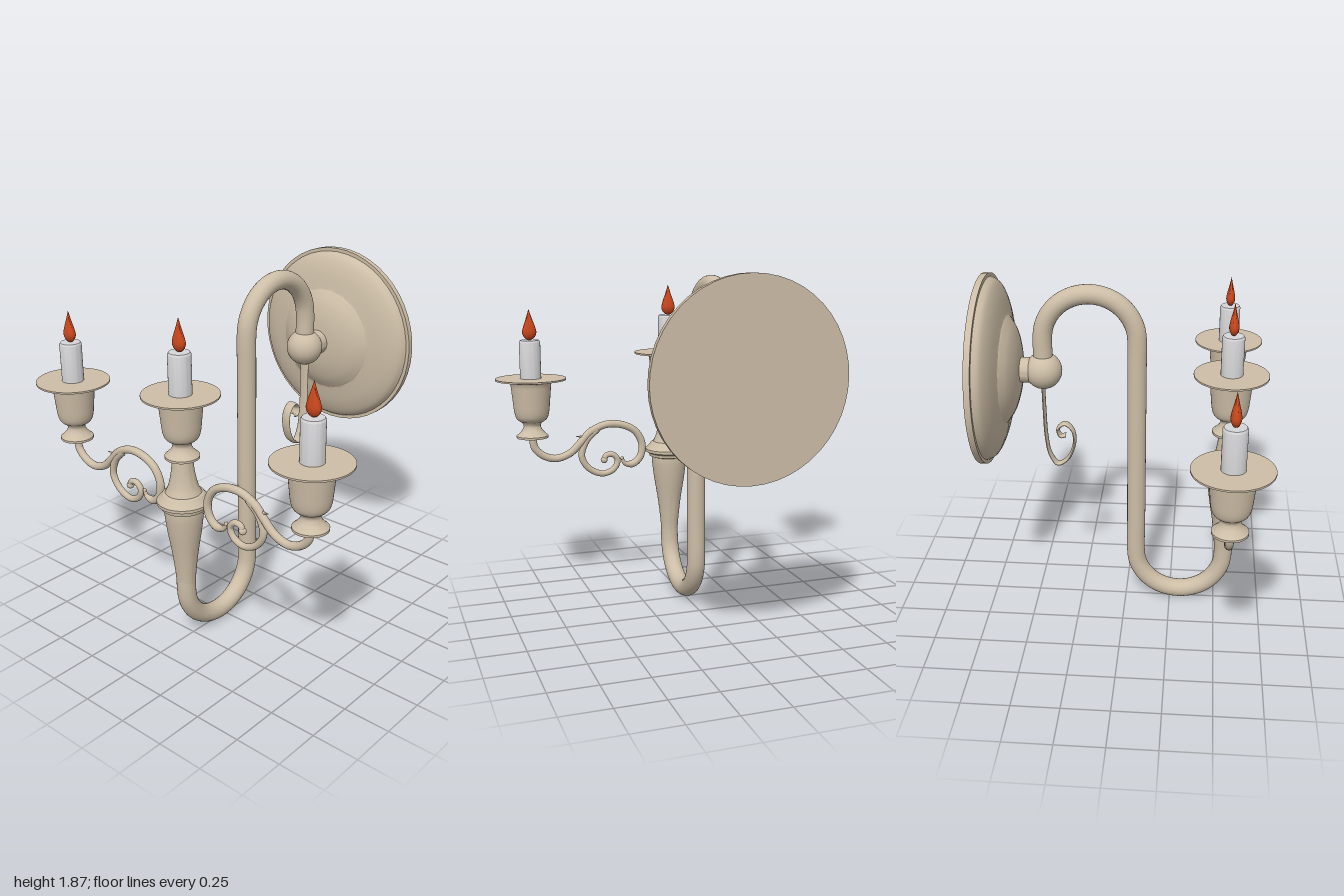
import * as THREE from 'three';
import { toCreasedNormals } from 'three/addons/utils/BufferGeometryUtils.js';

const FRONT_Z = 0.543, BALL_Y = 1.375, BALL_Z = -0.43;

const metal = new THREE.MeshStandardMaterial({ color: 0xccbda6 });
metal.name = 'beigeMetal';
const wax = new THREE.MeshStandardMaterial({ color: 0xd6d6d8 });
wax.name = 'paleWax';
const fire = new THREE.MeshStandardMaterial({ color: 0xc8471c });
fire.name = 'orangeFlame';

function mesh(name, geometry, material = metal) {
  const m = new THREE.Mesh(geometry, material);
  m.name = name;
  return m;
}

// Turned part from [radius, height] pairs, listed bottom to top
function turned(profile, crease = 0.55) {
  const points = profile.map(([r, y]) => new THREE.Vector2(r, y));
  return toCreasedNormals(new THREE.LatheGeometry(points, 48), crease);
}

// Extra points along a curved stretch of a profile
function smooth(profile, n = 20) {
  const curve = new THREE.SplineCurve(profile.map(([r, y]) => new THREE.Vector2(r, y)));
  return curve.getPoints(n).map(p => [p.x, p.y]);
}

// Round rod along a path; radiusAt(t) gives its thickness
function rod(curve, radiusAt, segments = 90, sides = 14) {
  const g = new THREE.TubeGeometry(curve, segments, 1, sides, false);
  const pos = g.attributes.position, v = new THREE.Vector3();
  for (let i = 0; i <= segments; i++) {
    const centre = curve.getPointAt(i / segments), r = radiusAt(i / segments);
    for (let j = 0; j <= sides; j++) {
      const k = i * (sides + 1) + j;
      v.fromBufferAttribute(pos, k).sub(centre).multiplyScalar(r).add(centre);
      pos.setXYZ(k, v.x, v.y, v.z);
    }
  }
  return g;
}

const spline = pts => new THREE.CatmullRomCurve3(pts.map(([x, y, z = 0]) => new THREE.Vector3(x, y, z)));

// Candle cup with drip pan, candle and flame; origin at the foot
function makeCandle(name) {
  const group = new THREE.Group();
  group.name = name;
  group.add(mesh('cup', turned([
    [0, 0], [0.088, 0], [0.088, 0.012],
    ...smooth([[0.078, 0.02], [0.055, 0.045], [0.047, 0.07], [0.058, 0.09]], 10),
    ...smooth([[0.066, 0.092], [0.085, 0.11], [0.096, 0.145], [0.103, 0.21], [0.112, 0.305]], 14),
    [0.116, 0.312], [0.195, 0.325], [0.195, 0.334], [0, 0.334],
  ])));
  group.add(mesh('candle', turned([[0, 0.33], [0.058, 0.33], [0.058, 0.535], [0.052, 0.545], [0, 0.545]]), wax));
  const flame = mesh('flame', turned(smooth([
    [0, 0.543], [0.025, 0.556], [0.039, 0.585], [0.032, 0.62], [0.016, 0.665], [0, 0.715],
  ], 18), 1), fire);
  flame.scale.z = 0.66;
  group.add(flame);
  return group;
}

// Scrolled side arm running towards +x
function makeArm(name) {
  const group = new THREE.Group();
  group.name = name;
  const branch = spline([[0.8, 0.945], [0.79, 0.87], [0.74, 0.82], [0.67, 0.8], [0.59, 0.825], [0.525, 0.885],
    [0.47, 0.94], [0.38, 0.978], [0.285, 0.972], [0.205, 0.93], [0.165, 0.855], [0.175, 0.78],
    [0.22, 0.738], [0.27, 0.745], [0.285, 0.775]]);
  group.add(mesh('branch', rod(branch, t => (t < 0.93 ? 0.021 : 0.021 - 0.2 * (t - 0.93)), 110)));
  const scroll = spline([[0.43, 0.955], [0.495, 0.89], [0.522, 0.8], [0.48, 0.727], [0.4, 0.692],
    [0.335, 0.715], [0.312, 0.765], [0.34, 0.8], [0.38, 0.797], [0.392, 0.772]]);
  group.add(mesh('scroll', rod(scroll, t => 0.02 - 0.004 * t)));
  const leaf = spline([[0.46, 0.95], [0.5, 0.917], [0.555, 0.92]]);
  group.add(mesh('leaf', rod(leaf, t => 0.02 * (1 - t) + 0.001, 20)));
  // Round tips on the curls
  for (const [x, y, r] of [[0.285, 0.775, 0.01], [0.392, 0.772, 0.02]]) {
    const tip = mesh('curlTip', new THREE.SphereGeometry(r, 16, 10));
    tip.position.set(x, y, 0);
    group.add(tip);
  }
  const candle = makeCandle('sideCandle');
  candle.position.set(0.8, 0.93, 0);
  group.add(candle);
  return group;
}

export function createModel() {
  const model = new THREE.Group();
  model.name = 'wallCandleSconce';

  // Round wall plate with a stepped dome and neck
  const plate = mesh('wallPlate', turned([
    [0, -0.74], [0.495, -0.74], [0.495, -0.708], [0.476, -0.708],
    ...smooth([[0.474, -0.703], [0.45, -0.67], [0.38, -0.639], [0.28, -0.617]], 14),
    ...smooth([[0.277, -0.614], [0.22, -0.58], [0.14, -0.556], [0.066, -0.547]], 12),
    [0.066, -0.48],
  ], 0.4).rotateX(Math.PI / 2));
  plate.position.y = BALL_Y;
  model.add(plate);

  const ball = mesh('ballJoint', new THREE.SphereGeometry(0.097, 36, 24));
  ball.position.set(0, BALL_Y, BALL_Z);
  model.add(ball);

  // S-shaped pipe: up over the top, down, and round to the stem
  const path = [[0, BALL_Y, BALL_Z], [0, 1.46, BALL_Z]];
  const arc = (cy, cz, r, sign) => {
    for (let i = 0; i <= 12; i++) {
      const a = i / 12 * Math.PI;
      path.push([0, cy + sign * r * Math.sin(a), cz - r * Math.cos(a)]);
    }
  };
  arc(1.55, -0.187, 0.243, 1);
  for (let y = 1.4; y > 0.4; y -= 0.15) path.push([0, y, 0.056]);
  arc(0.293, 0.2995, 0.2435, -1);
  path.push([0, 0.42, FRONT_Z]);
  model.add(mesh('pipe', rod(spline(path), () => 0.05, 180, 24)));

  // Turned central stem
  const stem = mesh('stem', turned([
    ...smooth([[0.05, 0.3], [0.051, 0.36], [0.066, 0.5], [0.088, 0.64], [0.099, 0.73], [0.1, 0.77]], 20),
    [0.115, 0.775], [0.118, 0.792], [0.137, 0.802], [0.137, 0.818], [0.112, 0.845], [0.105, 0.855],
    ...smooth([[0.092, 0.86], [0.075, 0.9], [0.06, 0.97], [0.05, 1.06]], 14),
  ]));
  stem.position.z = FRONT_Z;
  model.add(stem);

  const centre = makeCandle('centreCandle');
  centre.position.set(0, 1.05, FRONT_Z);
  model.add(centre);

  // Mirrored side arms
  for (const side of [1, -1]) {
    const arm = makeArm(side > 0 ? 'leftArm' : 'rightArm');
    arm.position.z = FRONT_Z;
    if (side < 0) arm.rotation.y = Math.PI;
    model.add(arm);
  }

  // Flat curled ribbon hanging below the ball
  const curl = spline([[0, 1.3, -0.435], [0, 1.15, -0.433], [0, 1, -0.428], [0, 0.89, -0.41], [0, 0.832, -0.37],
    [0, 0.865, -0.315], [0, 0.965, -0.277], [0, 1.04, -0.288], [0, 1.072, -0.328], [0, 1.04, -0.365],
    [0, 1.0, -0.35], [0, 1.005, -0.32]]);
  const ribbon = mesh('hangingCurl', rod(curl, () => 0.009, 100, 12));
  ribbon.scale.x = 3;
  model.add(ribbon);

  return model;
}
